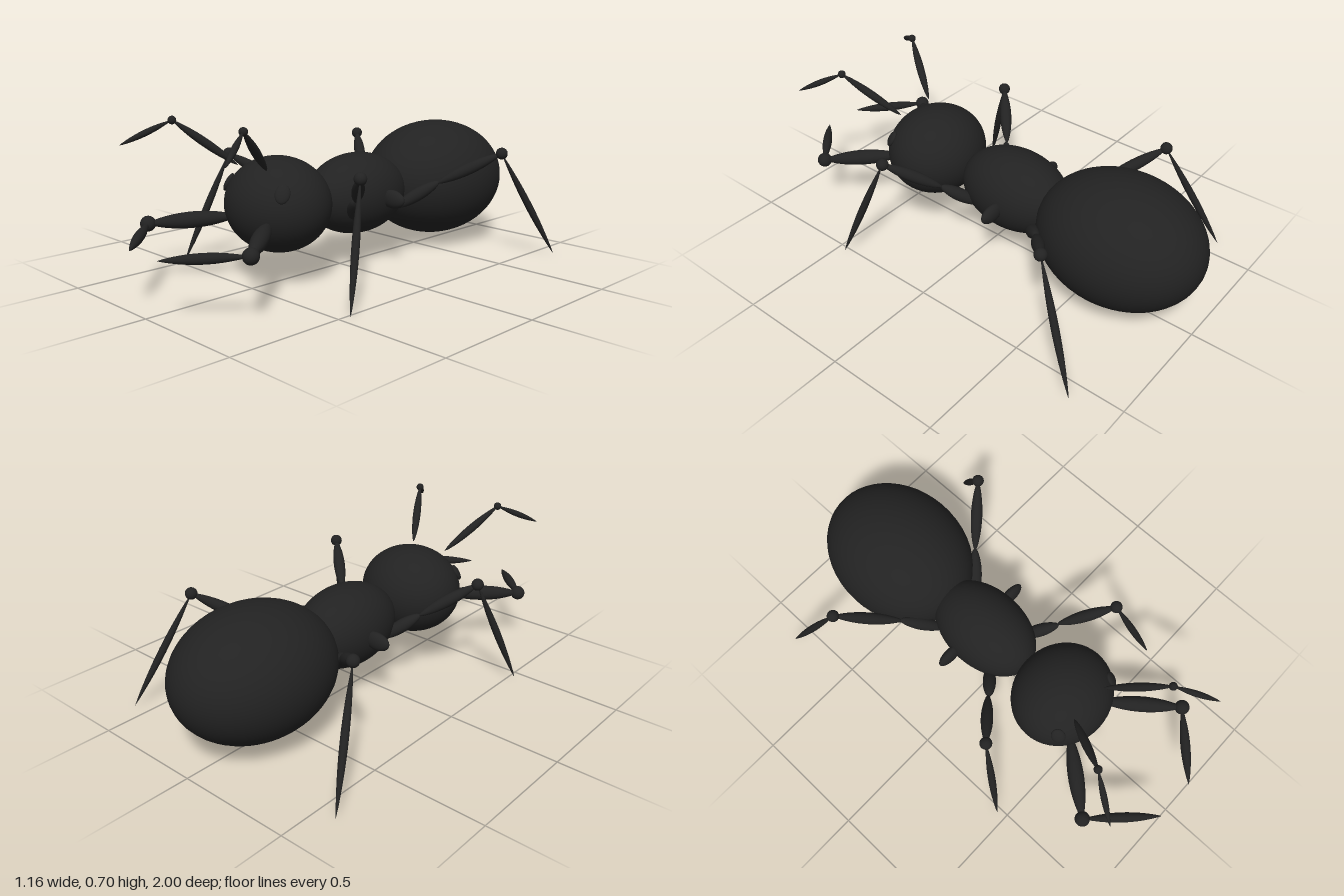
import * as THREE from 'three';

const shell = new THREE.MeshStandardMaterial({ color: 0x222222 });
shell.name = 'blackShell';

const V = (p) => new THREE.Vector3(...p);

function ellipsoid(name, center, radii) {
  const mesh = new THREE.Mesh(new THREE.SphereGeometry(1, 48, 32), shell);
  mesh.name = name;
  mesh.position.set(...center);
  mesh.scale.set(...radii);
  return mesh;
}

// Spindle-shaped limb segment running from a to b; power sets how blunt the ends are
function spindle(name, a, b, radius, power = 0.8) {
  const from = V(a), dir = V(b).sub(from), length = dir.length();
  const profile = [];
  for (let i = 0; i <= 16; i++) {
    const t = i / 16;
    const r = i === 0 || i === 16 ? 0 : radius * Math.sin(Math.PI * t) ** power;
    profile.push(new THREE.Vector2(r, t * length));
  }
  const mesh = new THREE.Mesh(new THREE.LatheGeometry(profile, 20), shell);
  mesh.name = name;
  mesh.position.copy(from);
  mesh.quaternion.setFromUnitVectors(new THREE.Vector3(0, 1, 0), dir.normalize());
  return mesh;
}

// Two segments meeting at a ball joint
function limb(name, side, { base, joint, tip, upper, lower, ball }) {
  const m = ([x, y, z]) => [x * side, y, z];
  const group = new THREE.Group();
  group.name = name;
  group.add(
    spindle('upperSegment', m(base), m(joint), upper, 0.65),
    ellipsoid('joint', m(joint), [ball, ball, ball]),
    spindle('lowerSegment', m(joint), m(tip), lower, 0.8),
  );
  return group;
}

export function createModel() {
  const ant = new THREE.Group();
  ant.name = 'ant';

  // Body
  ant.add(
    ellipsoid('head', [0, 0.335, 0.355], [0.233, 0.198, 0.212]),
    ellipsoid('thorax', [0, 0.313, -0.1], [0.175, 0.179, 0.26]),
    ellipsoid('abdomen', [0, 0.315, -0.635], [0.296, 0.27, 0.365]),
  );

  for (const side of [1, -1]) {
    const label = side > 0 ? 'left' : 'right';

    // Eye lying flat against the head
    const eye = ellipsoid(label + 'Eye', [side * 0.168, 0.418, 0.475], [0.03, 0.04, 0.014]);
    const normal = new THREE.Vector3(side * 0.168 / 0.054, 0.083 / 0.039, 0.12 / 0.045).normalize();
    eye.quaternion.setFromUnitVectors(new THREE.Vector3(0, 0, 1), normal);
    ant.add(eye);

    // Feelers and jaws
    ant.add(
      limb(label + 'Antenna', side, {
        base: [0.09, 0.5, 0.485], joint: [0.223, 0.69, 0.703], tip: [0.337, 0.595, 0.875],
        upper: 0.018, lower: 0.013, ball: 0.017,
      }),
      limb(label + 'Mandible', side, {
        base: [0.1, 0.29, 0.49], joint: [0.329, 0.264, 0.765], tip: [0.09, 0.245, 1],
        upper: 0.034, lower: 0.021, ball: 0.032,
      }),
    );

    // Front and back legs, each with a hip segment on the thorax
    ant.add(
      spindle(label + 'FrontHip', [side * 0.1, 0.235, 0.02], [side * 0.225, 0.345, 0.135], 0.029, 0.55),
      limb(label + 'FrontLeg', side, {
        base: [0.22, 0.34, 0.125], joint: [0.405, 0.486, 0.29], tip: [0.522, 0.005, 0.46],
        upper: 0.026, lower: 0.016, ball: 0.026,
      }),
      spindle(label + 'BackHip', [side * 0.1, 0.235, -0.255], [side * 0.24, 0.355, -0.39], 0.029, 0.55),
      limb(label + 'BackLeg', side, {
        base: [0.23, 0.345, -0.38], joint: [0.447, 0.486, -0.563], tip: [0.58, 0.005, -0.81],
        upper: 0.026, lower: 0.016, ball: 0.026,
      }),
    );

    // Short middle hip
    ant.add(ellipsoid(label + 'MiddleHip', [side * 0.195, 0.308, -0.127], [0.065, 0.04, 0.025]));
  }
  return ant;
}
